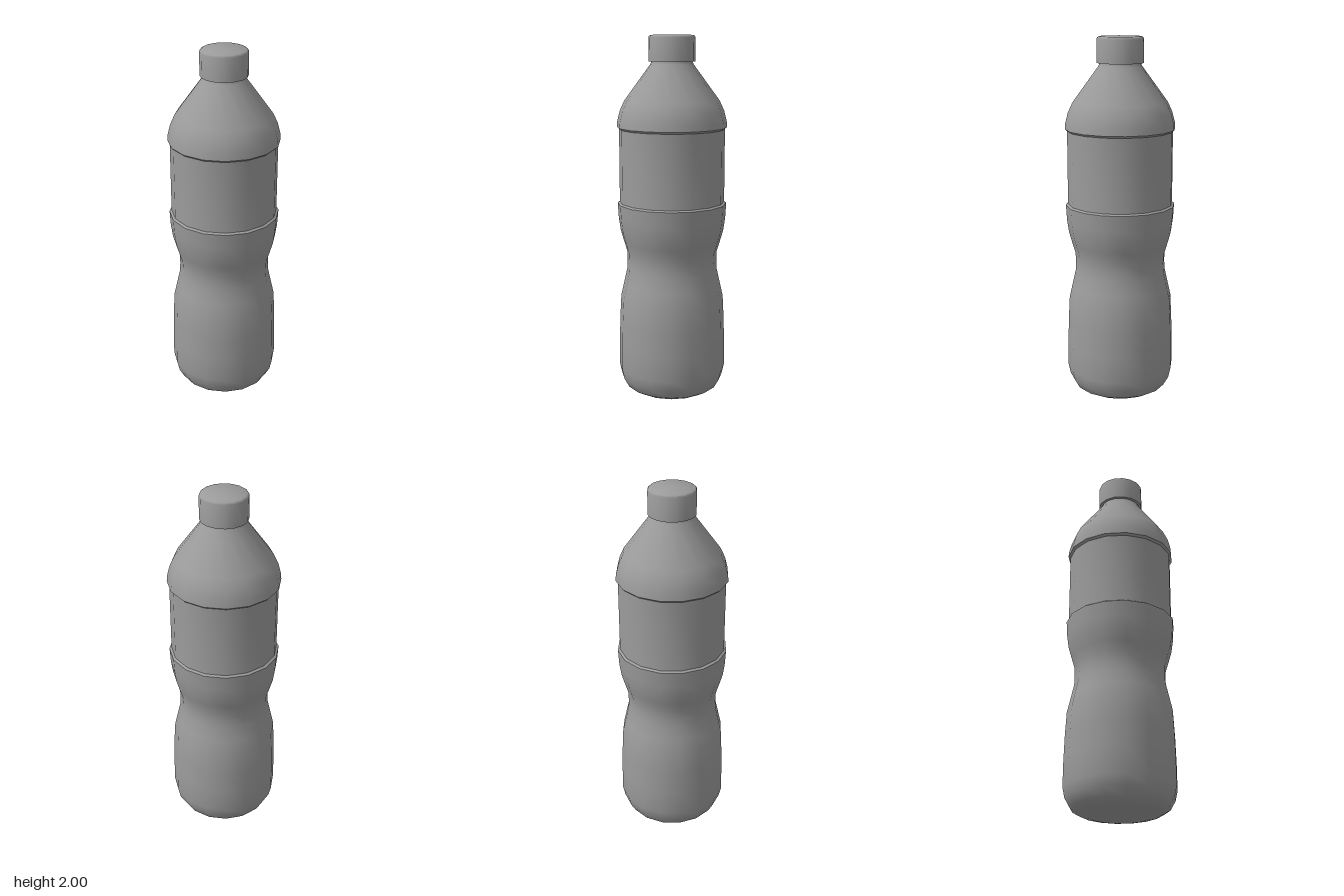
import * as THREE from 'three';
import { toCreasedNormals } from 'three/addons/utils/BufferGeometryUtils.js';

const SIDES = 16;
const material = new THREE.MeshStandardMaterial({ color: 0x9c9c9c });

// Turn a bottom-to-top [radius, height] profile into a 16-sided part
function turned(name, profile) {
  const points = profile.map(([r, y]) => new THREE.Vector2(r, y));
  const geometry = toCreasedNormals(new THREE.LatheGeometry(points, SIDES), 0.7);
  const mesh = new THREE.Mesh(geometry, material);
  mesh.name = name;
  return mesh;
}

export function createModel() {
  const bottle = new THREE.Group();
  bottle.name = 'bottle';

  // Rounded base, grip waist and the sloped ledge below the label
  bottle.add(turned('lowerBody', [
    [0, 0], [0.17, 0], [0.215, 0.01], [0.26, 0.035], [0.288, 0.085],
    [0.3, 0.14], [0.299, 0.28], [0.295, 0.42], [0.288, 0.55], [0.27, 0.63],
    [0.252, 0.71], [0.25, 0.76], [0.252, 0.81], [0.27, 0.87], [0.287, 0.93],
    [0.297, 1.0], [0.302, 1.086], [0.29, 1.094],
  ]));

  // Slightly recessed label band
  bottle.add(turned('labelBand', [[0.29, 1.094], [0.29, 1.496]]));

  // Shoulder with an overhanging lip, tapering to the neck
  bottle.add(turned('shoulder', [
    [0.29, 1.496], [0.302, 1.507], [0.299, 1.54], [0.285, 1.595], [0.26, 1.65],
    [0.117, 1.845], [0.112, 1.858], [0.112, 1.88],
  ]));

  // Screw cap with a softened top edge
  bottle.add(turned('cap', [
    [0, 1.86], [0.127, 1.86], [0.127, 1.985], [0.124, 1.994], [0.115, 2], [0, 2],
  ]));

  return bottle;
}
